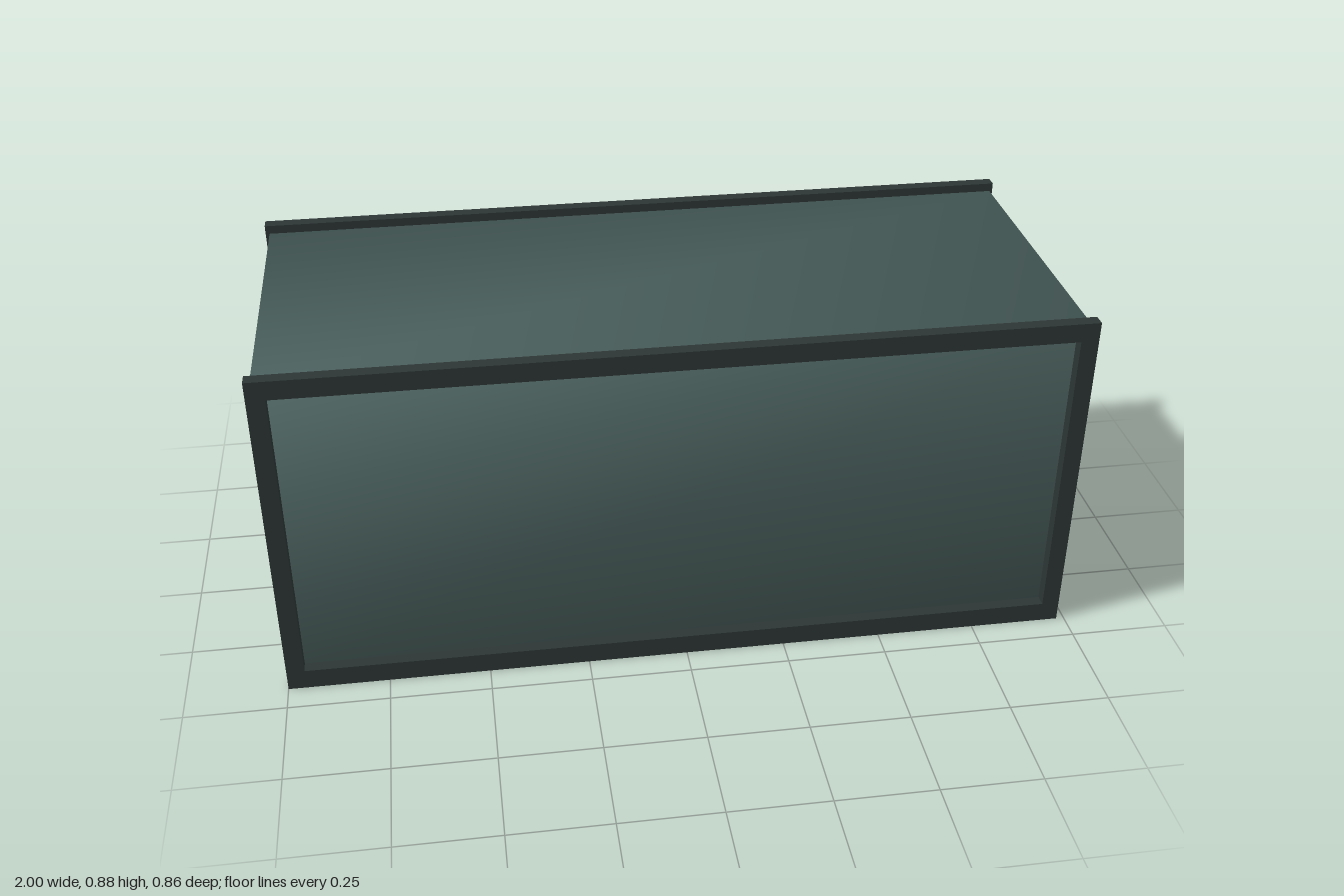
import * as THREE from 'three';
import { mergeVertices } from 'three/addons/utils/BufferGeometryUtils.js';

const material = (name, color) => {
  const m = new THREE.MeshStandardMaterial({ color });
  m.name = name;
  return m;
};

export function createModel() {
  const group = new THREE.Group();
  group.name = 'cargoContainer';
  const panelPaint = material('grey green', 0x4a605d);
  const framePaint = material('dark grey green', 0x2d3635);
  const brass = material('brass', 0xb88c42);

  const add = (name, geometry, mat) => {
    const mesh = new THREE.Mesh(geometry, mat);
    mesh.name = name;
    group.add(mesh);
    return mesh;
  };
  // Box given by its lower and upper corners
  const box = (x0, x1, y0, y1, z0, z1) =>
    new THREE.BoxGeometry(x1 - x0, y1 - y0, z1 - z0)
      .translate((x0 + x1) / 2, (y0 + y1) / 2, (z0 + z1) / 2);

  // Body: box with shared corners, so its shading runs smoothly round the edges
  let shell = box(-0.99, 0.972, 0.025, 0.855, -0.4, 0.4);
  shell.deleteAttribute('normal');
  shell.deleteAttribute('uv');
  shell = mergeVertices(shell);
  shell.computeVertexNormals();
  add('body', shell, panelPaint);

  // Rectangular frames around the two long sides
  const outline = new THREE.Shape([[-1, 0], [0.98, 0], [0.98, 0.877], [-1, 0.877]]
    .map(([x, y]) => new THREE.Vector2(x, y)));
  outline.holes.push(new THREE.Path([[-0.956, 0.052], [-0.956, 0.829], [0.936, 0.829], [0.936, 0.052]]
    .map(([x, y]) => new THREE.Vector2(x, y))));
  const frame = new THREE.ExtrudeGeometry(outline, { depth: 0.032, bevelEnabled: false });
  add('frontFrame', frame, framePaint).position.z = 0.398;
  add('backFrame', frame, framePaint).position.z = -0.43;

  // Pair of doors on the end, with a handle on the rear one
  add('frontDoor', box(0.971, 0.986, 0.055, 0.825, 0.031, 0.393), panelPaint);
  add('backDoor', box(0.971, 0.986, 0.055, 0.825, -0.393, -0.031), panelPaint);
  add('doorHandle', box(0.985, 1, 0.214, 0.246, -0.264, -0.173), brass);

  return group;
}
